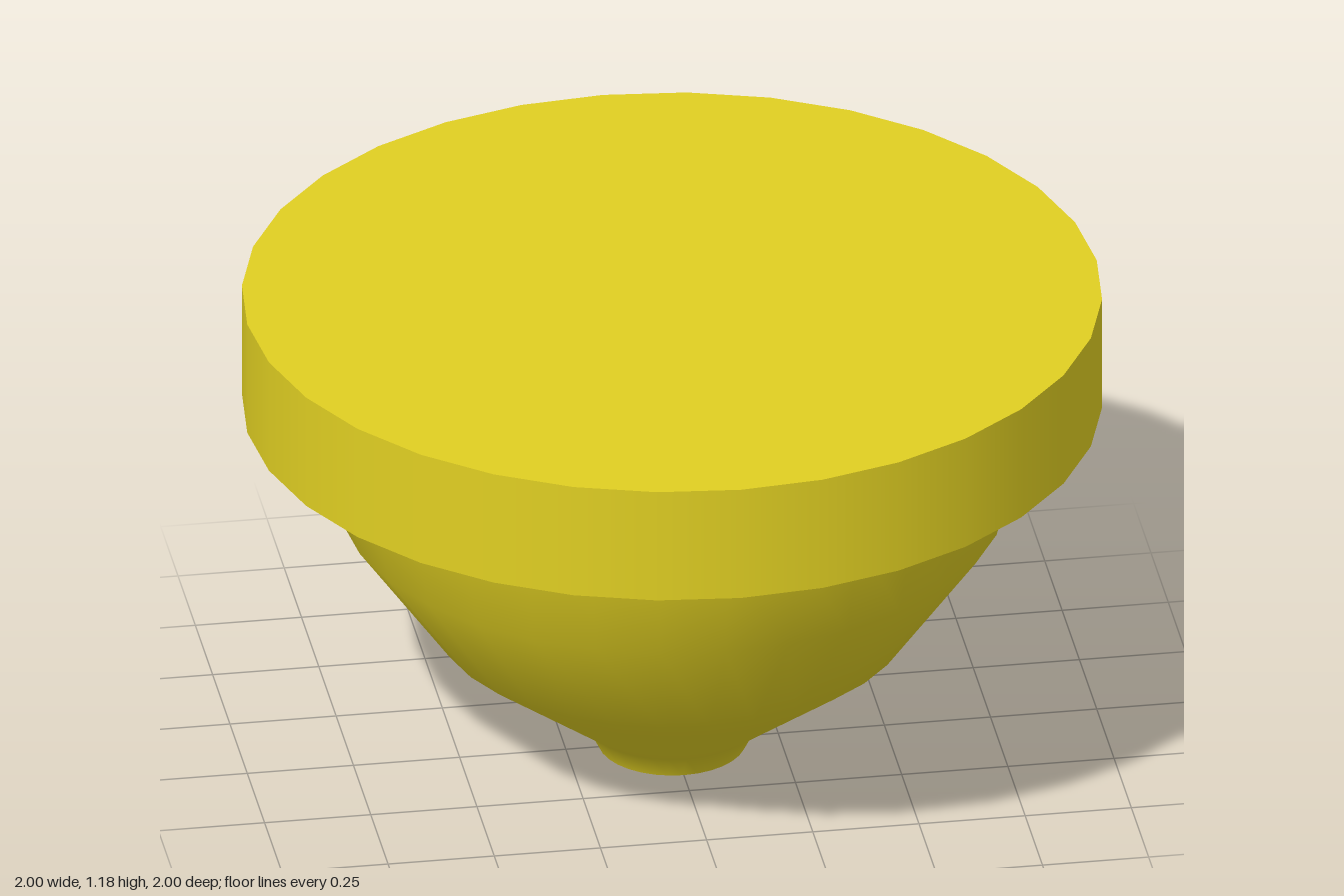
import * as THREE from 'three';

const SIDES = 32;
const yellow = new THREE.MeshStandardMaterial({ color: 0xe0cf22 });
const glass = new THREE.MeshStandardMaterial({ color: 0xb4d4d8 });

// Round part turned from a profile that runs from the bottom up
function turned(name, profile, material) {
  const points = profile.map(([r, y]) => new THREE.Vector2(r, y));
  const mesh = new THREE.Mesh(new THREE.LatheGeometry(points, SIDES), material);
  mesh.name = name;
  return mesh;
}

export function createModel() {
  const group = new THREE.Group();
  group.name = 'roundLamp';

  // Wide flat disc on top
  const cap = new THREE.Mesh(new THREE.CylinderGeometry(1, 1, 0.284, SIDES), yellow);
  cap.name = 'cap';
  cap.position.y = 1.036;
  group.add(cap);

  // Bowl narrowing down to the small neck
  group.add(turned('bowl', [[0.172, 0], [0.2, 0.055], [0.55, 0.32], [0.775, 0.635], [0.825, 0.9]], yellow));

  // Flat lip around the opening
  group.add(turned('lip', [[0.14, 0], [0.172, 0]], yellow));

  // Recessed opening: sloped wall and flat lens
  group.add(turned('openingWall', [[0.125, 0.045], [0.14, 0]], glass));
  group.add(turned('lens', [[0, 0.045], [0.125, 0.045]], glass));

  return group;
}
